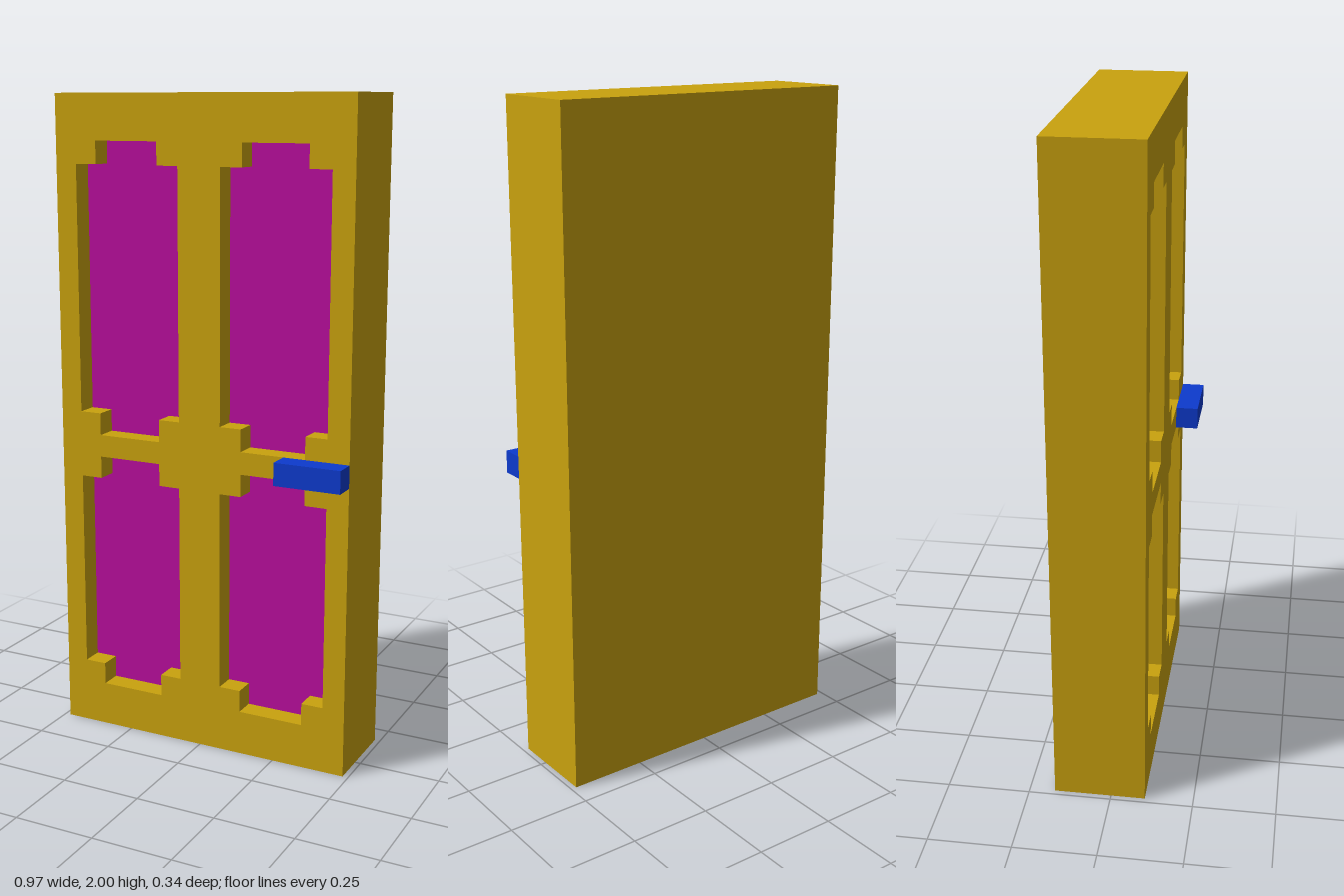
import * as THREE from 'three';

const U = 2 / 29; // block unit: the door is 14 x 29 x 4 units

function material(name, color) {
  const m = new THREE.MeshStandardMaterial({ color });
  m.name = name;
  return m;
}

// Rectangle with a one-unit square notch in each corner
function notchedPoints(x0, y0, x1, y1) {
  return [
    [x0 + 1, y0], [x1 - 1, y0], [x1 - 1, y0 + 1], [x1, y0 + 1],
    [x1, y1 - 1], [x1 - 1, y1 - 1], [x1 - 1, y1], [x0 + 1, y1],
    [x0 + 1, y1 - 1], [x0, y1 - 1], [x0, y0 + 1], [x0 + 1, y0 + 1],
  ].map(([x, y]) => new THREE.Vector2(x * U, y * U));
}

export function createModel() {
  const wood = material('ochre', 0xc9a20e);
  const inset = material('magenta', 0xb80d9c);
  const metal = material('blue', 0x0d3acd);
  const group = new THREE.Group();
  group.name = 'door';

  function add(name, geometry, mat, x = 0, y = 0, z = 0) {
    const mesh = new THREE.Mesh(geometry, mat);
    mesh.name = name;
    mesh.position.set(x * U, y * U, z * U);
    group.add(mesh);
    return mesh;
  }

  // Solid back slab
  add('doorSlab', new THREE.BoxGeometry(14 * U, 29 * U, 3 * U), wood, 0, 14.5, -1);

  // Front frame with four recesses, and a coloured plate in each
  const frame = new THREE.Shape([[-7, 0], [7, 0], [7, 29], [-7, 29]]
    .map(([x, y]) => new THREE.Vector2(x * U, y * U)));
  for (const [row, y0, y1] of [['lower', 2, 13], ['upper', 14, 27]]) {
    for (const [side, x0] of [['Right', -6], ['Left', 1]]) {
      const points = notchedPoints(x0, y0, x0 + 5, y1);
      frame.holes.push(new THREE.Path(points));
      add(row + side + 'Panel', new THREE.ShapeGeometry(new THREE.Shape(points)), inset, 0, 0, 0.53);
    }
  }
  add('doorFrame', new THREE.ExtrudeGeometry(frame, { depth: U, bevelEnabled: false }), wood, 0, 0, 0.5);

  // Handle flush with the left edge
  add('handle', new THREE.BoxGeometry(3 * U, U, U), metal, 5.5, 13.5, 2);

  return group;
}
